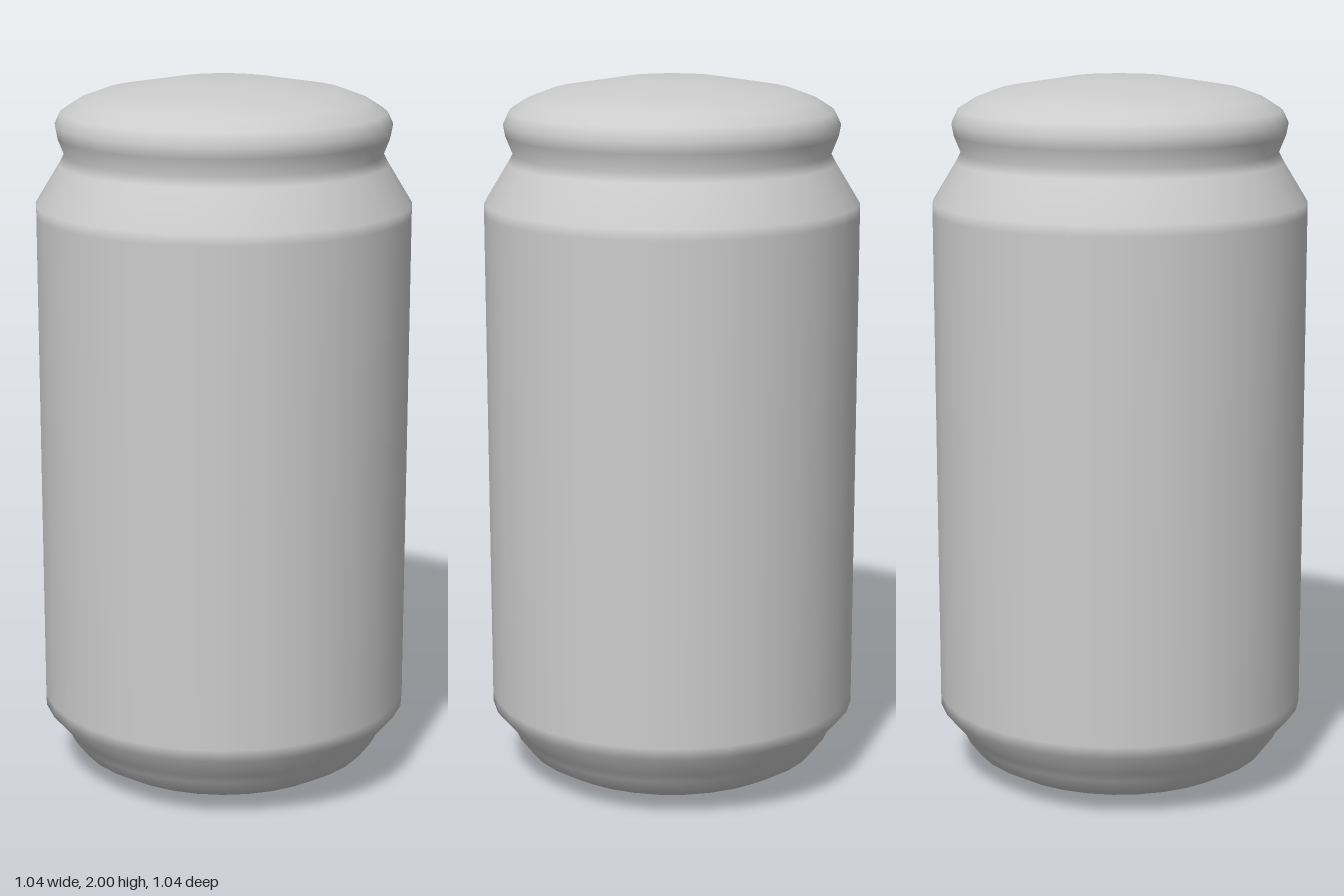
import * as THREE from 'three';

export function createModel() {
  const group = new THREE.Group();
  group.name = 'can';

  const greyMetal = new THREE.MeshStandardMaterial({ color: 0xcccccc });
  greyMetal.name = 'grey metal';

  // Radius and height, from the centre of the base to the centre of the lid
  const profile = [
    // domed base
    [0, 0], [0.12, 0.005], [0.23, 0.016], [0.365, 0.042], [0.423, 0.075],
    [0.455, 0.117], [0.465, 0.14],
    // straight wall, with tight loops at both ends
    [0.522, 0.207], [0.522, 0.24], [0.522, 1.63], [0.522, 1.66],
    // shoulder and neck
    [0.455, 1.77], [0.441, 1.797],
    // rounded rim
    [0.46, 1.845], [0.466, 1.878], [0.45, 1.912], [0.4, 1.944], [0.335, 1.968],
    // slightly domed lid
    [0.14, 2], [0, 2],
  ].map(([r, y]) => new THREE.Vector2(r, y));

  const body = new THREE.Mesh(new THREE.LatheGeometry(profile, 32), greyMetal);
  body.name = 'canBody';
  group.add(body);
  return group;
}
